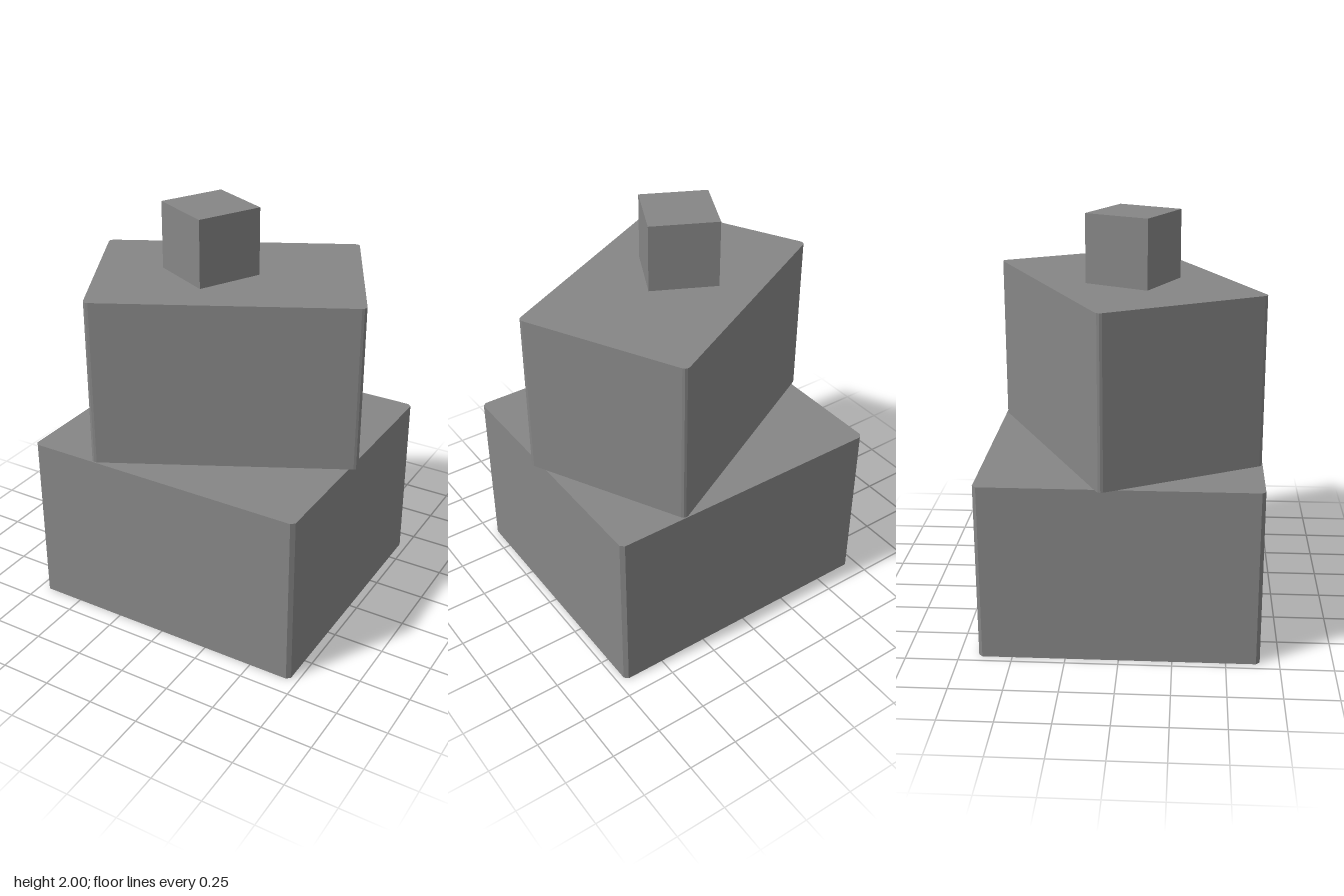
import * as THREE from 'three';

// Upright block on y = 0; its vertical edges are cut back by radius in the given number of facets
function blockGeometry(width, height, depth, radius, facets) {
  if (!radius) return new THREE.BoxGeometry(width, height, depth).translate(0, height / 2, 0);
  const outline = [];
  [[1, 1], [-1, 1], [-1, -1], [1, -1]].forEach(([sx, sy], corner) => {
    for (let i = 0; i <= facets; i++) {
      const angle = (corner + i / facets) * Math.PI / 2;
      outline.push(new THREE.Vector2(
        sx * (width / 2 - radius) + radius * Math.cos(angle),
        sy * (depth / 2 - radius) + radius * Math.sin(angle),
      ));
    }
  });
  return new THREE.ExtrudeGeometry(new THREE.Shape(outline), { depth: height, bevelEnabled: false })
    .rotateX(-Math.PI / 2);
}

export function createModel() {
  const group = new THREE.Group();
  const material = new THREE.MeshStandardMaterial({ color: 0x868686, flatShading: true });

  // Three stacked blocks, each twisted about the vertical axis
  const blocks = [
    { name: 'baseBlock', size: [1.424, 0.857, 1.318], radius: 0.018, facets: 1, at: [0, 0, 0], turn: 0 },
    { name: 'middleBlock', size: [1.262, 0.815, 0.842], radius: 0.024, facets: 3, at: [0, 0.857, 0], turn: 0.476 },
    { name: 'topCube', size: [0.33, 0.328, 0.33], radius: 0, facets: 0, at: [-0.08, 1.672, 0.036], turn: -0.458 },
  ];
  for (const { name, size, radius, facets, at, turn } of blocks) {
    const mesh = new THREE.Mesh(blockGeometry(...size, radius, facets), material);
    mesh.name = name;
    mesh.position.set(...at);
    mesh.rotation.y = turn;
    group.add(mesh);
  }
  return group;
}
